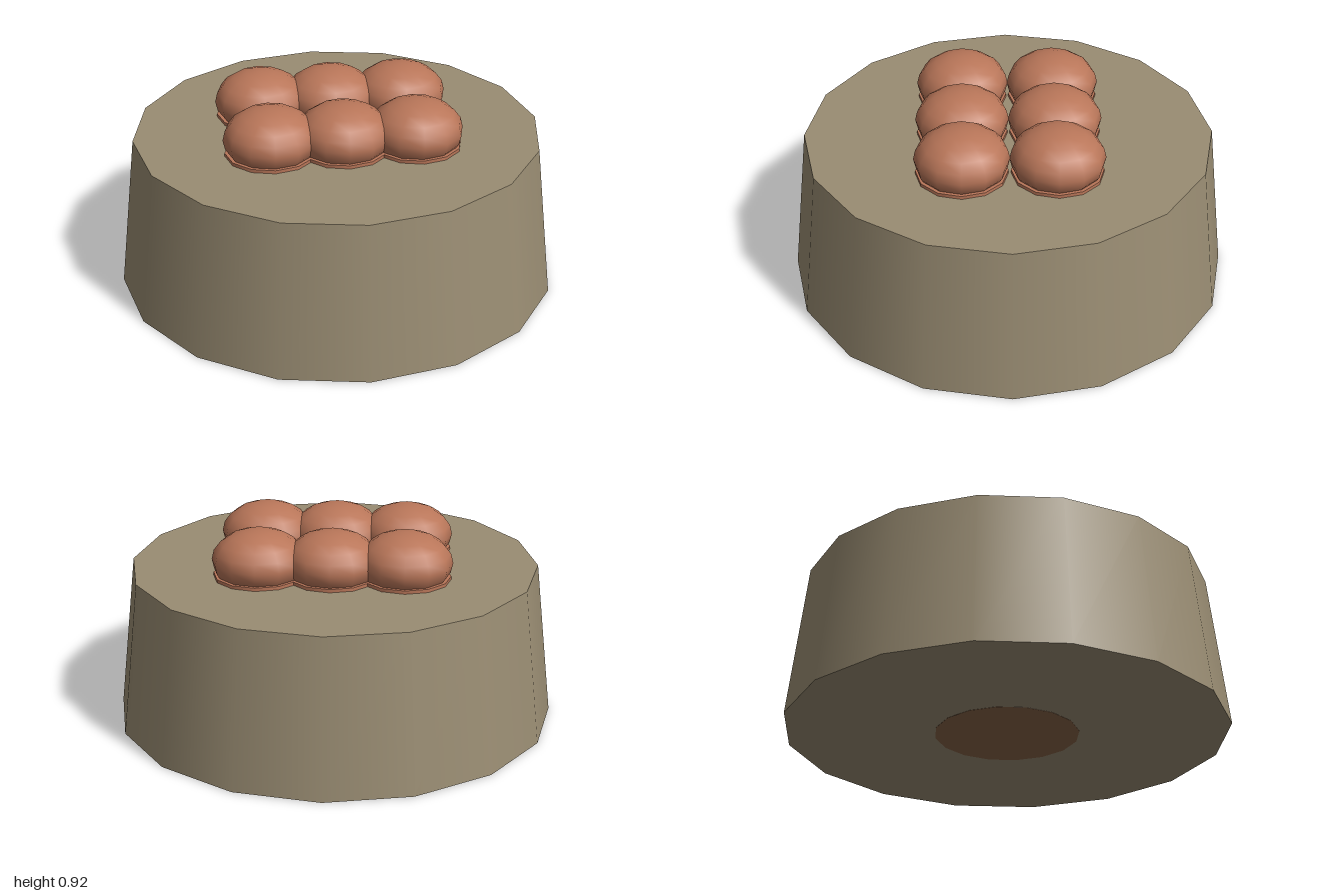
import * as THREE from 'three';

export function createModel() {
  const model = new THREE.Group();
  model.name = 'bunsOnDrum';

  const stone = new THREE.MeshStandardMaterial({ color: 0x9a8d73 });
  stone.name = 'stone';
  const crust = new THREE.MeshStandardMaterial({ color: 0xb97659 });
  crust.name = 'crust';
  const brown = new THREE.MeshStandardMaterial({ color: 0x886448 });
  brown.name = 'brown';

  const add = (name, geometry, material, x, y, z, parent = model) => {
    const mesh = new THREE.Mesh(geometry, material);
    mesh.name = name;
    mesh.position.set(x, y, z);
    parent.add(mesh);
    return mesh;
  };

  // Tapered sixteen-sided drum
  const height = 0.704;
  add('drum', new THREE.CylinderGeometry(0.92, 1, height, 16), stone, 0, 0.001 + height / 2, 0);

  // Thin disc in the middle of the underside
  add('undersideDisc', new THREE.CylinderGeometry(0.325, 0.325, 0.004, 16), brown, 0, 0.002, 0);

  // Two rows of three squashed buns, each on a low foot
  const domeGeometry = new THREE.SphereGeometry(0.21, 12, 10).scale(1, 0.667, 1);
  const footGeometry = new THREE.CylinderGeometry(0.203, 0.203, 0.02, 12);
  for (const z of [-0.208, 0.208]) {
    for (const x of [-0.323, 0, 0.323]) {
      const bun = new THREE.Group();
      bun.name = 'bun';
      bun.position.set(x, 0, z);
      add('bunDome', domeGeometry, crust, 0, 0.78, 0, bun);
      add('bunFoot', footGeometry, crust, 0, 0.71, 0, bun);
      model.add(bun);
    }
  }
  return model;
}
